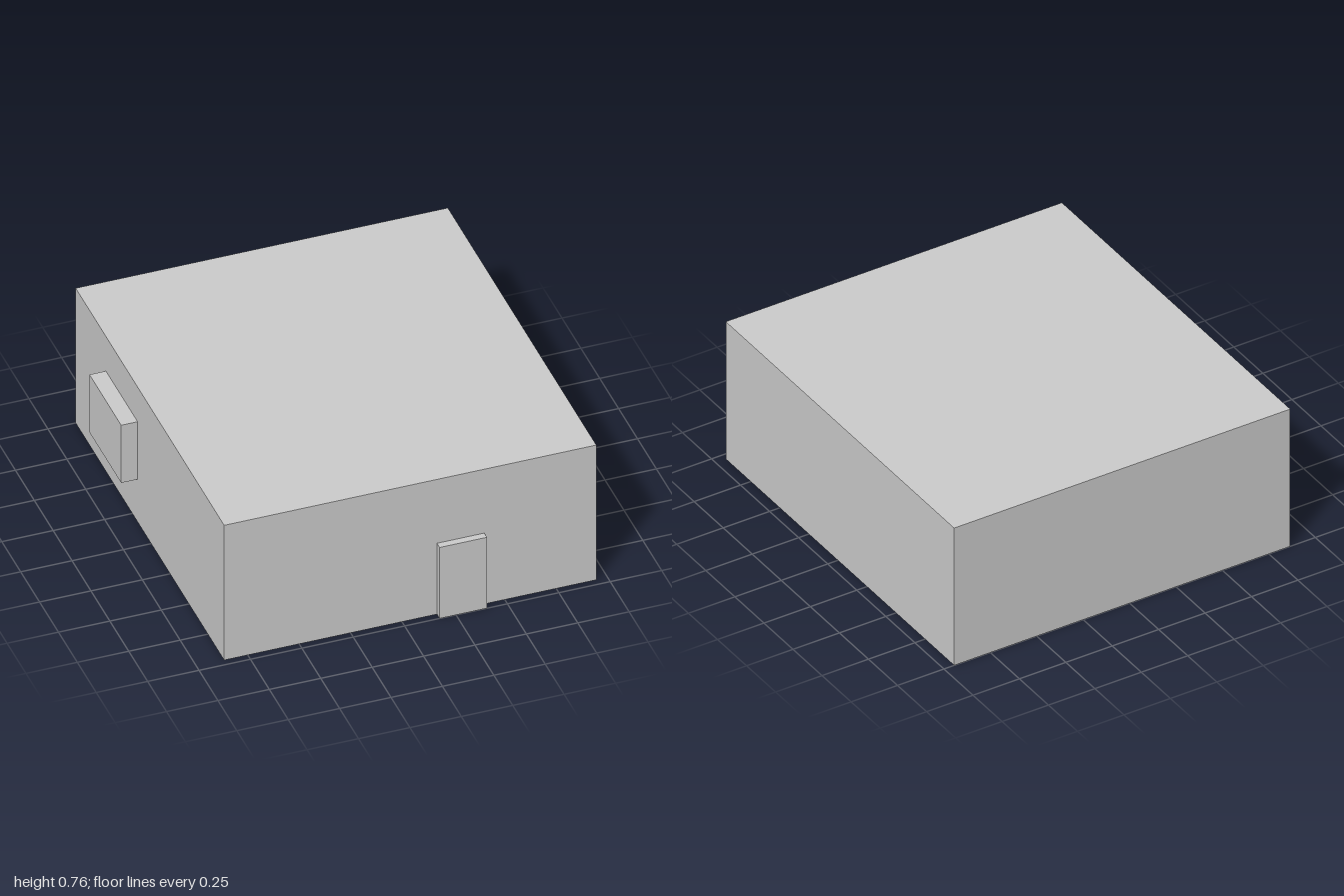
import * as THREE from 'three';

export function createModel() {
  const group = new THREE.Group();
  const material = new THREE.MeshStandardMaterial({ color: 0xcccccc, flatShading: true });

  // Box given by its extents along each axis
  function addBox(name, [x0, x1], [y0, y1], [z0, z1]) {
    const mesh = new THREE.Mesh(new THREE.BoxGeometry(x1 - x0, y1 - y0, z1 - z0), material);
    mesh.position.set((x0 + x1) / 2, (y0 + y1) / 2, (z0 + z1) / 2);
    mesh.name = name;
    group.add(mesh);
  }

  // Main block of the building
  addBox('building', [-0.865, 0.945], [0, 0.76], [-1, 0.965]);
  // Door slab standing proud of the front wall
  addBox('door', [0.17, 0.4], [0, 0.4], [0.965, 1]);
  // Unit mounted on the right wall
  addBox('wallUnit', [-0.945, -0.865], [0.24, 0.565], [-0.6, -0.18]);

  return group;
}
